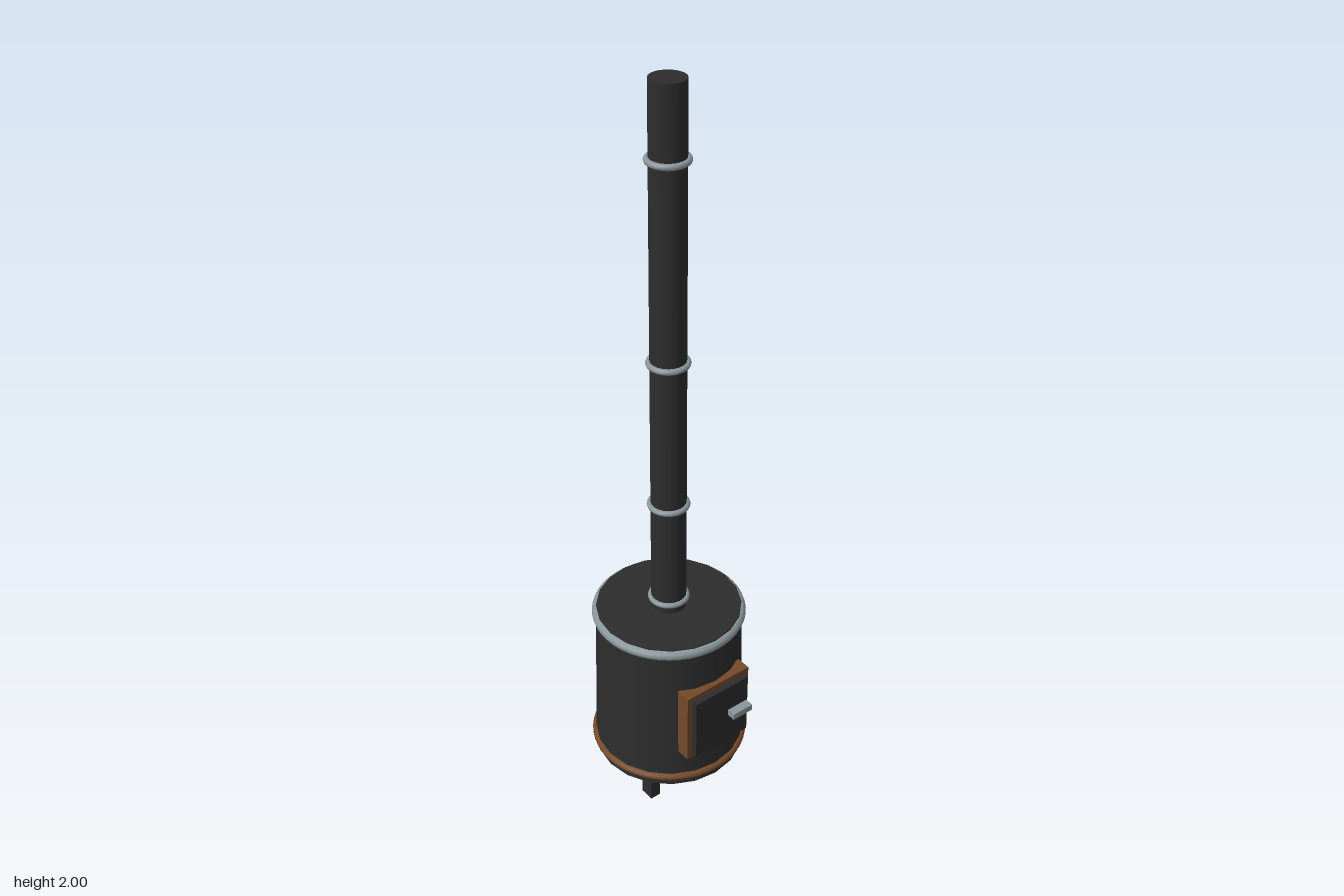
import * as THREE from 'three';

const mat = (name, color) => {
  const m = new THREE.MeshStandardMaterial({ color });
  m.name = name;
  return m;
};

export function createModel() {
  const iron = mat('black iron', 0x2d2d2d);
  const steel = mat('steel', 0x89969b);
  const copper = mat('copper', 0x74492a);

  const root = new THREE.Group();
  root.name = 'woodStove';

  const add = (name, geometry, material, x, y, z, parent) => {
    const mesh = new THREE.Mesh(geometry, material);
    mesh.name = name;
    mesh.position.set(x, y, z);
    parent.add(mesh);
    return mesh;
  };

  // Round parts share an axis set slightly behind the centre
  const stove = new THREE.Group();
  stove.name = 'stove';
  stove.position.z = -0.019;
  root.add(stove);

  // Flat ring lying around the vertical axis
  const ring = (name, outer, tube, y, material) => {
    const g = new THREE.TorusGeometry(outer - tube, tube, 10, 48);
    g.rotateX(Math.PI / 2);
    add(name, g, material, 0, y, 0, stove);
  };

  // Tapered firebox with its trims
  add('firebox', new THREE.CylinderGeometry(0.195, 0.207, 0.473, 20), iron, 0, 0.3085, 0, stove);
  ring('topTrim', 0.207, 0.015, 0.527, steel);
  ring('baseTrim', 0.216, 0.011, 0.1, copper);

  // Chimney pipe and its joint collars
  add('chimneyPipe', new THREE.CylinderGeometry(0.045, 0.047, 1.46, 20), iron, 0, 1.27, 0, stove);
  for (const y of [0.573, 0.873, 1.29, 1.812]) ring('pipeCollar', 0.056, 0.008, y, steel);

  // Four short legs
  for (const x of [-0.142, 0.142]) {
    for (const z of [-0.1, 0.1]) {
      add('leg', new THREE.BoxGeometry(0.03, 0.08, 0.04), iron, x, 0.04, z, stove);
    }
  }

  // Door with frame and handle on the front
  const door = new THREE.Group();
  door.name = 'door';
  root.add(door);
  add('doorFrame', new THREE.BoxGeometry(0.208, 0.214, 0.042), copper, 0, 0.298, 0.172, door);
  add('doorPanel', new THREE.BoxGeometry(0.176, 0.186, 0.03), iron, 0, 0.298, 0.195, door);
  add('doorHandle', new THREE.BoxGeometry(0.064, 0.018, 0.03), steel, 0.053, 0.302, 0.22, door);

  return root;
}
